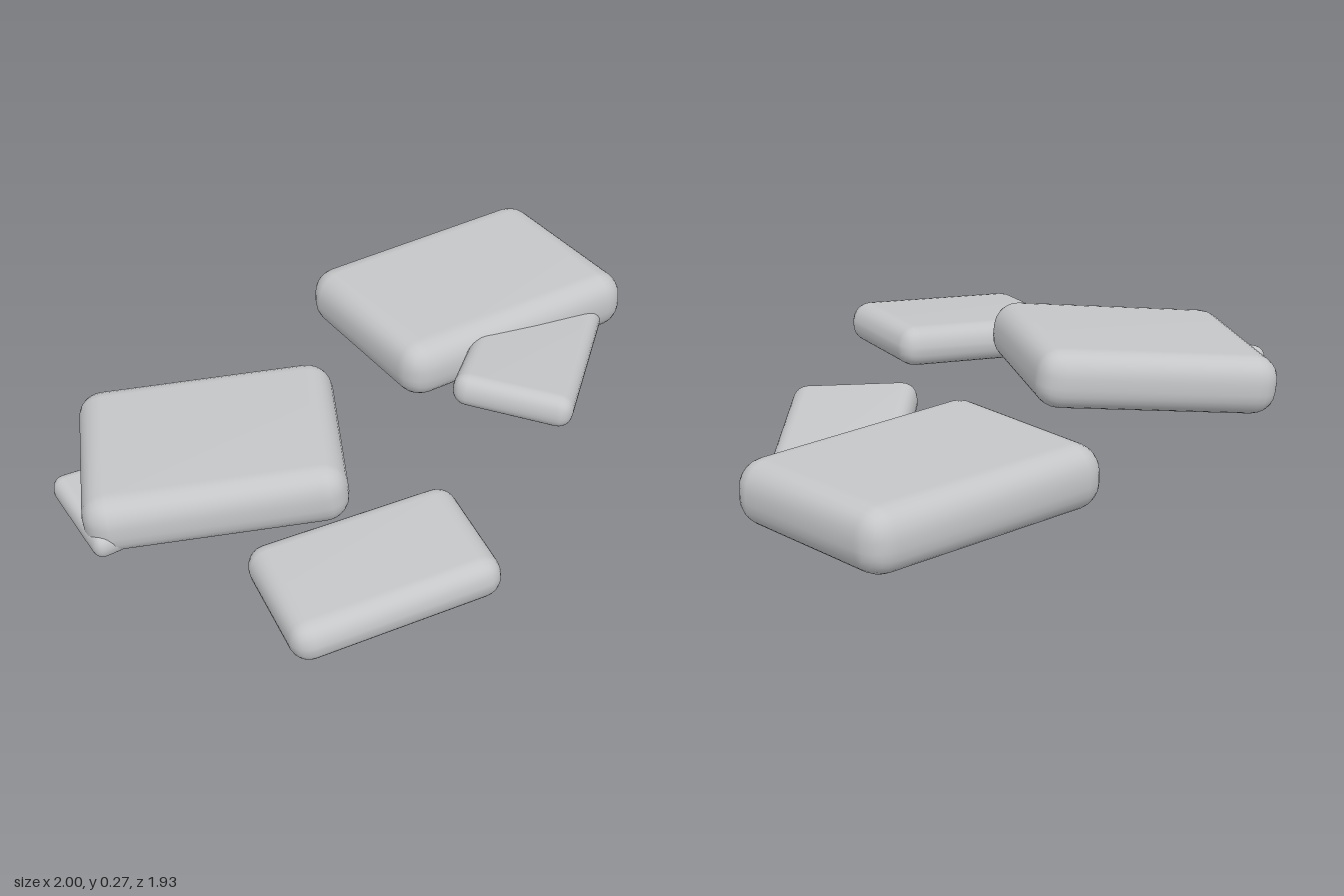
import * as THREE from 'three';
import { RoundedBoxGeometry } from 'three/addons/geometries/RoundedBoxGeometry.js';
import { mergeVertices } from 'three/addons/utils/BufferGeometryUtils.js';

const stone = new THREE.MeshStandardMaterial({ color: 0xc4c6c8 });
stone.name = 'pale grey stone';

// Each slab: mid-plane corners [x, y, z] (back left, back right, front right, front left) and thickness
const SLABS = [
  { name: 'largeRightSlab', thickness: 0.2, radius: 0.085,
    corners: [[-0.015, 0.105, -0.735], [0.81, 0.115, -0.985], [1.02, 0.11, -0.39], [0.185, 0.107, -0.125]] },
  { name: 'largeLeftSlab', thickness: 0.195, radius: 0.08,
    corners: [[-0.86, 0.092, -0.29], [-0.08, 0.183, -0.135], [-0.18, 0.183, 0.49], [-0.955, 0.092, 0.345]] },
  { name: 'frontSlab', thickness: 0.135, radius: 0.062,
    corners: [[-0.52, 0.074, 0.535], [0.125, 0.137, 0.465], [0.175, 0.134, 0.885], [-0.465, 0.069, 0.97]] },
  { name: 'leaningSlab', thickness: 0.11, radius: 0.048,
    corners: [[0.57, 0.085, -0.52], [0.93, 0.057, -0.4], [0.6, 0.13, 0.215], [0.27, 0.16, 0.01]] },
  { name: 'smallSlab', thickness: 0.085, radius: 0.038,
    corners: [[-1.01, 0.085, 0.05], [-0.63, 0.054, -0.07], [-0.54, 0.046, 0.23], [-0.92, 0.055, 0.38]] },
];

// Rounded box whose plan is warped to four corners, with thickness along the slab's normal
function slab({ name, corners, thickness, radius }) {
  const [bl, br, fr, fl] = corners.map((c) => new THREE.Vector3(...c));
  const w = (bl.distanceTo(br) + fl.distanceTo(fr)) / 2;
  const d = (bl.distanceTo(fl) + br.distanceTo(fr)) / 2;
  const normal = fl.clone().sub(br).cross(fr.clone().sub(bl)).normalize();

  let geo = new RoundedBoxGeometry(w, thickness, d, 3, radius);
  geo.deleteAttribute('normal');
  geo.deleteAttribute('uv');
  geo = mergeVertices(geo, 1e-4);

  const pos = geo.attributes.position;
  const back = new THREE.Vector3(), front = new THREE.Vector3();
  for (let i = 0; i < pos.count; i++) {
    const u = pos.getX(i) / w + 0.5, v = pos.getZ(i) / d + 0.5;
    back.lerpVectors(bl, br, u);
    front.lerpVectors(fl, fr, u);
    back.lerp(front, v).addScaledVector(normal, pos.getY(i));
    pos.setXYZ(i, back.x, back.y, back.z);
  }
  geo.computeVertexNormals();
  const mesh = new THREE.Mesh(geo, stone);
  mesh.name = name;
  return mesh;
}

export function createModel() {
  const group = new THREE.Group();
  group.name = 'stoneSlabs';
  for (const s of SLABS) group.add(slab(s));
  return group;
}
